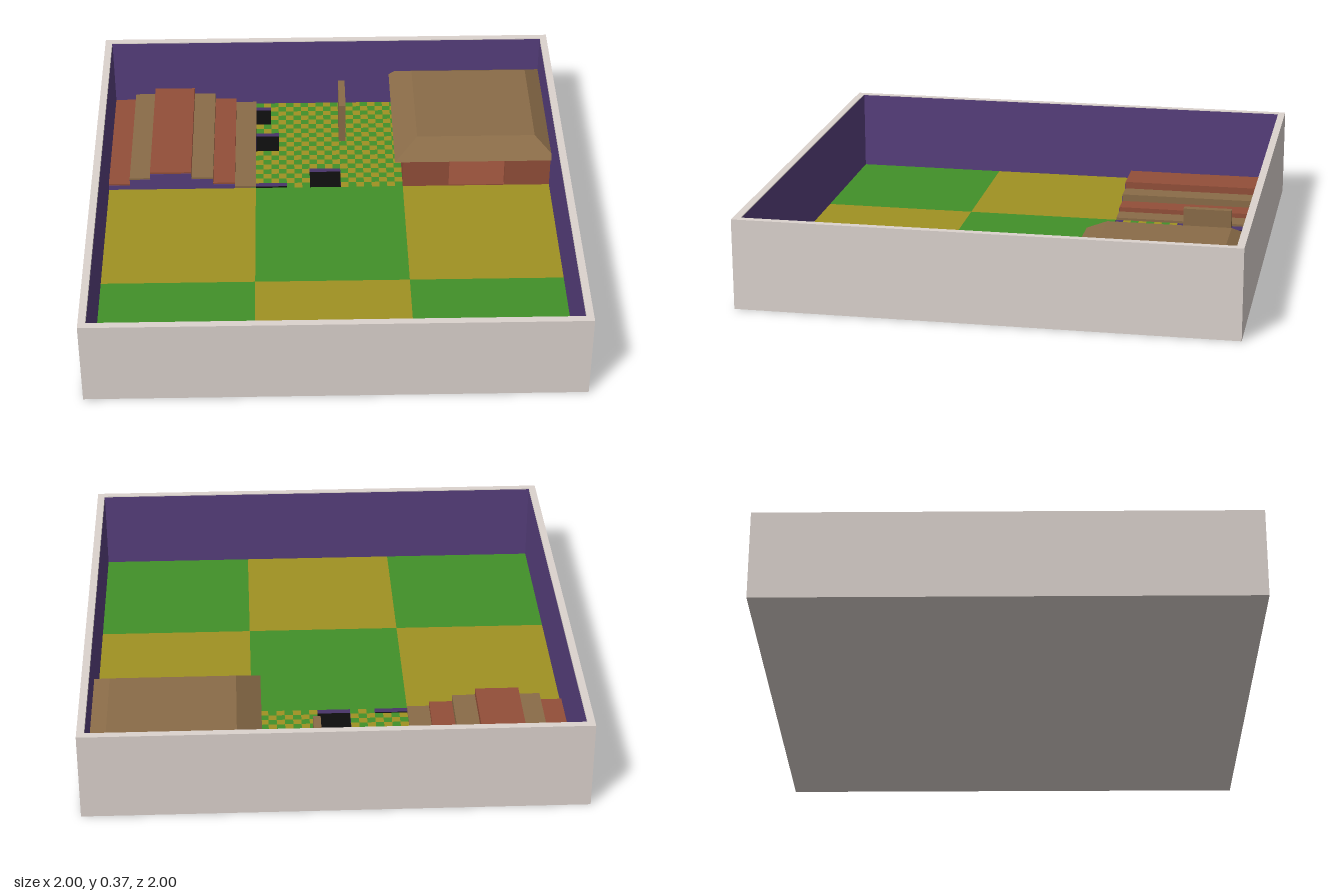
import * as THREE from 'three';
import { mergeGeometries } from 'three/addons/utils/BufferGeometryUtils.js';

const mat = (color) => new THREE.MeshStandardMaterial({ color, flatShading: true });
const shell = mat(0xdcd3ce), purple = mat(0x573f7d), green = mat(0x429029), yellow = mat(0x9f9122);
const brown = mat(0x8a6c48), red = mat(0x934f39), black = mat(0x0d0d0d);

const IN = 0.97;          // inner half width
const TILE = IN * 2 / 3;  // large floor tile
const T = TILE / 2;       // edge of the middle tile
const FLOOR = 0.03;
const CELL = TILE / 19;   // small floor check

export function createModel() {
  const root = new THREE.Group();
  const add = (name, geometry, material, parent = root) => {
    const mesh = new THREE.Mesh(geometry, material);
    mesh.name = name;
    parent.add(mesh);
    return mesh;
  };
  // box given by its limits on each axis
  const boxGeo = (x0, x1, y0, y1, z0, z1) => new THREE.BoxGeometry(x1 - x0, y1 - y0, z1 - z0)
    .translate((x0 + x1) / 2, (y0 + y1) / 2, (z0 + z1) / 2);
  const box = (name, material, limits, parent) => add(name, boxGeo(...limits), material, parent);
  // flat floor patch facing up
  const patch = (x0, z0, size, y = FLOOR) => new THREE.PlaneGeometry(size, size)
    .rotateX(-Math.PI / 2).translate(x0 + size / 2, y, z0 + size / 2);

  // tray: base, outer walls and purple lining
  box('base', shell, [-1, 1, 0, 0.008, -1, 1]);
  for (const s of [-1, 1]) {
    box('sideWall', shell, [s < 0 ? -1 : IN, s < 0 ? -IN : 1, 0, 0.37, -1, 1]);
    box('endWall', shell, [-IN, IN, 0, 0.37, s < 0 ? -1 : IN, s < 0 ? -IN : 1]);
  }
  for (let i = 0; i < 4; i++) {
    const lining = new THREE.PlaneGeometry(IN * 2, 0.358).translate(0, 0.189, -IN + 0.002);
    add('wallLining', lining.rotateY(i * Math.PI / 2), purple);
  }

  // large floor tiles, leaving the middle of the back row for small checks
  for (let i = 0; i < 3; i++) {
    for (let j = 0; j < 3; j++) {
      if (i === 1 && j === 0) continue;
      add('floorTile', patch(-IN + i * TILE, -IN + j * TILE, TILE), (i + j) % 2 ? yellow : green);
    }
  }

  // checked floor with square pits: first column, first row, columns, rows
  const pits = [[0, 1, 2, 4], [0, 7, 3, 4], [7, 15, 4, 4], [0, 18, 4, 1]];
  const checks = [[], []];
  for (let i = 0; i < 19; i++) {
    for (let j = 0; j < 19; j++) {
      if (pits.some(([c, r, w, d]) => i >= c && i < c + w && j >= r && j < r + d)) continue;
      checks[(i + j) % 2].push(patch(-T + i * CELL, -IN + j * CELL, CELL));
    }
  }
  add('greenChecks', mergeGeometries(checks[0]), green);
  add('yellowChecks', mergeGeometries(checks[1]), yellow);
  for (const [c, r, w, d] of pits) {
    const x = -T + c * CELL, z = -IN + r * CELL;
    // inward-facing pit sides
    const sides = new THREE.BoxGeometry(w * CELL, 0.02, d * CELL).scale(-1, 1, 1);
    sides.translate(x + w * CELL / 2, 0.02, z + d * CELL / 2).computeVertexNormals();
    add('pitSides', sides, purple);
    box('pitBottom', black, [x, x + w * CELL, 0.008, 0.012, z, z + d * CELL]);
  }

  // stepped terrace: left edge, height, material
  const steps = [[-0.97, 0.06, red], [-0.875, 0.09, brown], [-0.785, 0.12, red],
    [-0.605, 0.09, brown], [-0.51, 0.06, red], [-0.415, 0.04, brown]];
  const terrace = new THREE.Group();
  terrace.name = 'terrace';
  root.add(terrace);
  steps.forEach(([x, y, material], i) => {
    const end = i < 5 ? steps[i + 1][0] : -T;
    box('step', material, [x, end, FLOOR, y, -IN, -T - 0.002], terrace);
    if (y > 0.045) box('stepFrontPanel', purple, [x, end, FLOOR, y - 0.008, -T - 0.002, -T], terrace);
  });

  // free-standing screen
  box('screen', brown, [0.05, 0.08, FLOOR, 0.225, -0.865, -0.665]);

  // hut walls with a doorway in the front
  const hut = new THREE.Group();
  hut.name = 'hut';
  root.add(hut);
  box('hutFloor', red, [T, IN, FLOOR, FLOOR + 0.004, -IN, -T], hut);
  box('hutLeftWall', red, [T, T + 0.03, FLOOR, 0.19, -IN, -T], hut);
  box('hutFrontWall', red, [T, 0.525, FLOOR, 0.19, -T - 0.03, -T], hut);
  box('hutFrontWall', red, [0.77, IN, FLOOR, 0.19, -T - 0.03, -T], hut);
  box('hutRightWall', red, [IN - 0.03, IN, FLOOR, 0.19, -IN, -T], hut);
  box('hutBackWall', red, [T, IN, FLOOR, 0.19, -IN, -IN + 0.03], hut);

  // flat-topped hipped roof: box whose top face is drawn in
  const roof = boxGeo(0.285, 0.995, 0.185, 0.25, -0.995, -0.29);
  const p = roof.attributes.position;
  for (let i = 0; i < p.count; i++) {
    if (p.getY(i) < 0.2) continue;
    p.setX(i, p.getX(i) < 0.6 ? 0.385 : 0.9);
    p.setZ(i, p.getZ(i) < -0.6 ? -0.895 : -0.39);
  }
  roof.computeVertexNormals();
  add('roof', roof, brown, hut);

  return root;
}
